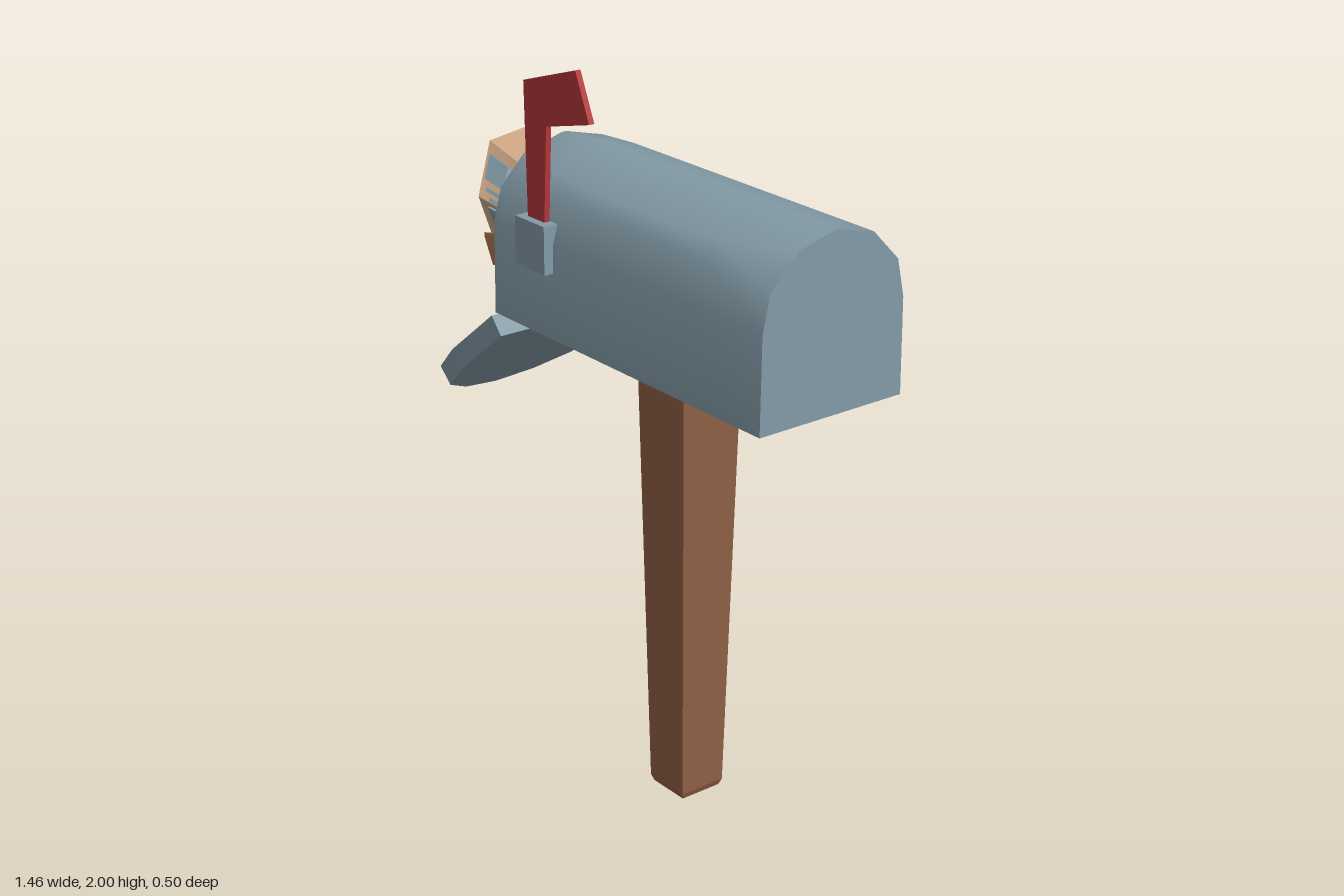
import * as THREE from 'three';
import { toCreasedNormals } from 'three/addons/utils/BufferGeometryUtils.js';

const mat = (name, color, side = THREE.FrontSide) => {
  const m = new THREE.MeshStandardMaterial({ color, side });
  m.name = name;
  return m;
};

// Skin through equal-length rings of [x, y, z], each counter-clockwise about the loft direction.
function loft(rings, { capStart = true, capEnd = true, crease = 0.3 } = {}) {
  const n = rings[0].length;
  const pos = rings.flat(2);
  const idx = [];
  for (let r = 0; r < rings.length - 1; r++) {
    for (let i = 0; i < n; i++) {
      const a = r * n + i, b = r * n + (i + 1) % n;
      idx.push(a, b, b + n, a, b + n, a + n);
    }
  }
  const cap = (r, flip) => {
    const c = pos.length / 3;
    for (let k = 0; k < 3; k++) pos.push(rings[r].reduce((s, p) => s + p[k], 0) / n);
    for (let i = 0; i < n; i++) {
      const a = r * n + i, b = r * n + (i + 1) % n;
      if (flip) idx.push(c, b, a); else idx.push(c, a, b);
    }
  };
  if (capStart) cap(0, true);
  if (capEnd) cap(rings.length - 1, false);
  const g = new THREE.BufferGeometry();
  g.setAttribute('position', new THREE.Float32BufferAttribute(pos, 3));
  g.setIndex(idx);
  return toCreasedNormals(g, crease);
}

const mix = (a, b, t) => a.map((v, k) => v + (b[k] - v) * t);
const shrink = (ring, f, dx = 0) => {
  const c = [0, 1, 2].map(k => ring.reduce((s, p) => s + p[k], 0) / ring.length);
  return ring.map(p => [p[0] + dx, c[1] + (p[1] - c[1]) * f, c[2] + (p[2] - c[2]) * f]);
};

export function createModel() {
  const model = new THREE.Group();
  model.name = 'mailbox';
  const steel = mat('blueGreySteel', 0x829aa6);
  const wood = mat('brownWood', 0x8f6045);
  const red = mat('redPaint', 0xb5363b);
  const paper = mat('tanPaper', 0xcba483, THREE.DoubleSide);
  const paperInside = mat('brownPaper', 0xb57b55, THREE.DoubleSide);
  const add = (name, geometry, material) => {
    const m = new THREE.Mesh(geometry, material);
    m.name = name;
    model.add(m);
    return m;
  };

  // Box shell: arched section, softly dented on the flag side, hollow and open at -x
  const arch = [[1.265, 0.225], [1.52, 0.222], [1.62, 0.2], [1.705, 0.115], [1.735, 0],
    [1.705, -0.118], [1.62, -0.2], [1.52, -0.222], [1.265, -0.225]];
  const dented = { 2: [1.63, 0.192], 3: [1.674, 0.165] };
  const section = (x, w, drop = 0) => arch.map((p, i) => {
    const [y, z] = dented[i] ? mix(p, dented[i], w) : p;
    return [x, y - (y > 1.6 ? drop : 0), z];
  });
  const inner = (x, w) => section(x, w, 0.012).map(([px, y, z]) =>
    [px, 1.5 + (y - 1.5) * 0.92, z * 0.91]);
  const stations = [[0.725, 0], [0.48, 0.8], [0.3, 1], [0, 1], [-0.2, 0.9], [-0.335, 0.3, 0.008],
    [-0.355, 0.2, 0.015]];
  add('boxShell', loft([
    ...stations.map(s => section(...s)),
    inner(-0.355, 0.2), inner(-0.2, 0.9), inner(0.3, 1), inner(0.7, 0),
  ], { crease: 0.7 }), steel);

  // Post: tapered square timber with a chamfered foot
  const square = (y, h) => [[1, 1], [1, -1], [-1, -1], [-1, 1]].map(([a, b]) => [0.185 + a * h, y, b * h]);
  add('post', loft([square(0, 0.062), square(0.018, 0.069), square(1.268, 0.095)], { crease: 0.1 }), wood);

  // Door: arched tray hanging open from the lower front edge
  const half = [[0.475, 0.12], [0.4, 0.212], [0.25, 0.25], [0, 0.25]];
  const outline = [[0.505, 0], ...half, ...half.slice().reverse().map(([s, z]) => [s, -z])];
  const tray = (h, f) => outline.map(([s, z]) => {
    const t = 0.25 + (s - 0.25) * f;
    return [-0.3 - 0.782 * t - 0.624 * h, 1.22 - 0.624 * t + 0.782 * h, z * f];
  });
  add('door', loft([tray(0, 0.98), tray(0.06, 1), tray(0.06, 0.89), tray(0.022, 0.84)],
    { crease: 0.45 }), steel);

  // Signal flag and its bracket
  const flag = new THREE.Shape([[-0.195, 1.55], [-0.125, 1.55], [-0.11, 1.83], [0.07, 1.875],
    [0.015, 2.0], [-0.205, 1.93]].map(p => new THREE.Vector2(...p)));
  const flagGeo = new THREE.ExtrudeGeometry(flag, { depth: 0.016, bevelEnabled: false });
  flagGeo.translate(0, 0, 0.211);
  add('flag', flagGeo, red);
  add('flagBracket', new THREE.BoxGeometry(0.126, 0.13, 0.042), steel).position.set(-0.158, 1.51, 0.229);

  // Rolled newspaper: flared six-sided roll with a slanted open mouth
  const mouth = [[-0.575, 1.66, 0.08], [-0.565, 1.685, -0.06], [-0.505, 1.52, -0.165],
    [-0.5, 1.375, -0.08], [-0.495, 1.385, 0.12], [-0.525, 1.53, 0.155]];
  const neck = [[1.6, 0.07], [1.61, -0.06], [1.49, -0.105], [1.37, -0.06], [1.375, 0.08], [1.49, 0.12]]
    .map(([y, z]) => [-0.355, y, z]);
  const lip = shrink(mouth, 0.87);
  add('paperRoll', loft([shrink(neck, 0.85, 0.2), neck, mouth, lip], { capEnd: false }), paper);
  add('paperRollInside', loft([lip, shrink(neck, 0.8), shrink(neck, 0.7, 0.19)],
    { capStart: false }), paperInside);
  add('paperCurl', loft([shrink(neck, 0.35, 0.1), shrink(mouth, 0.4, 0.05)],
    { capStart: false, capEnd: false }), paper);

  // Loose outer sheet curling below the roll
  const curl = [[1.41, 0.135], [1.325, 0.11], [1.31, -0.05], [1.345, -0.095]];
  const sheet = (x, lift, f) => [
    ...curl.map(([y, z]) => [x, y + lift + 0.014, z * f]),
    ...curl.slice().reverse().map(([y, z]) => [x, y + lift, z * f])];
  add('looseSheet', loft([sheet(-0.2, 0.05, 0.75), sheet(-0.35, 0.032, 0.88), sheet(-0.53, 0, 1)]),
    paperInside);

  // Printed blocks: [facet, along roll from, to, up facet from, to]
  const prints = [[5, 0.08, 0.45, 0.35, 0.8], [5, 0.65, 0.92, 0.35, 0.85], [5, 0.15, 0.85, 0.16, 0.23],
    [5, 0.25, 0.95, 0.02, 0.09], [4, 0.2, 0.65, 0.55, 0.9], [4, 0.03, 0.95, 0.02, 0.06]];
  prints.forEach(([i, v0, v1, u0, u1]) => {
    const j = (i + 1) % 6;
    const at = (v, u) => mix(mix(mouth[i], neck[i], v), mix(mouth[j], neck[j], v), u);
    const quad = [at(v0, u0), at(v1, u0), at(v1, u1), at(v0, u1)];
    const up = i === 5 ? 0.5 : -0.2;
    const raise = h => quad.map(([x, y, z]) => [x - 0.3 * h, y + up * h, z + h]);
    add('printedBlock', loft([raise(-0.003), raise(0.005)]), steel);
  });

  return model;
}
